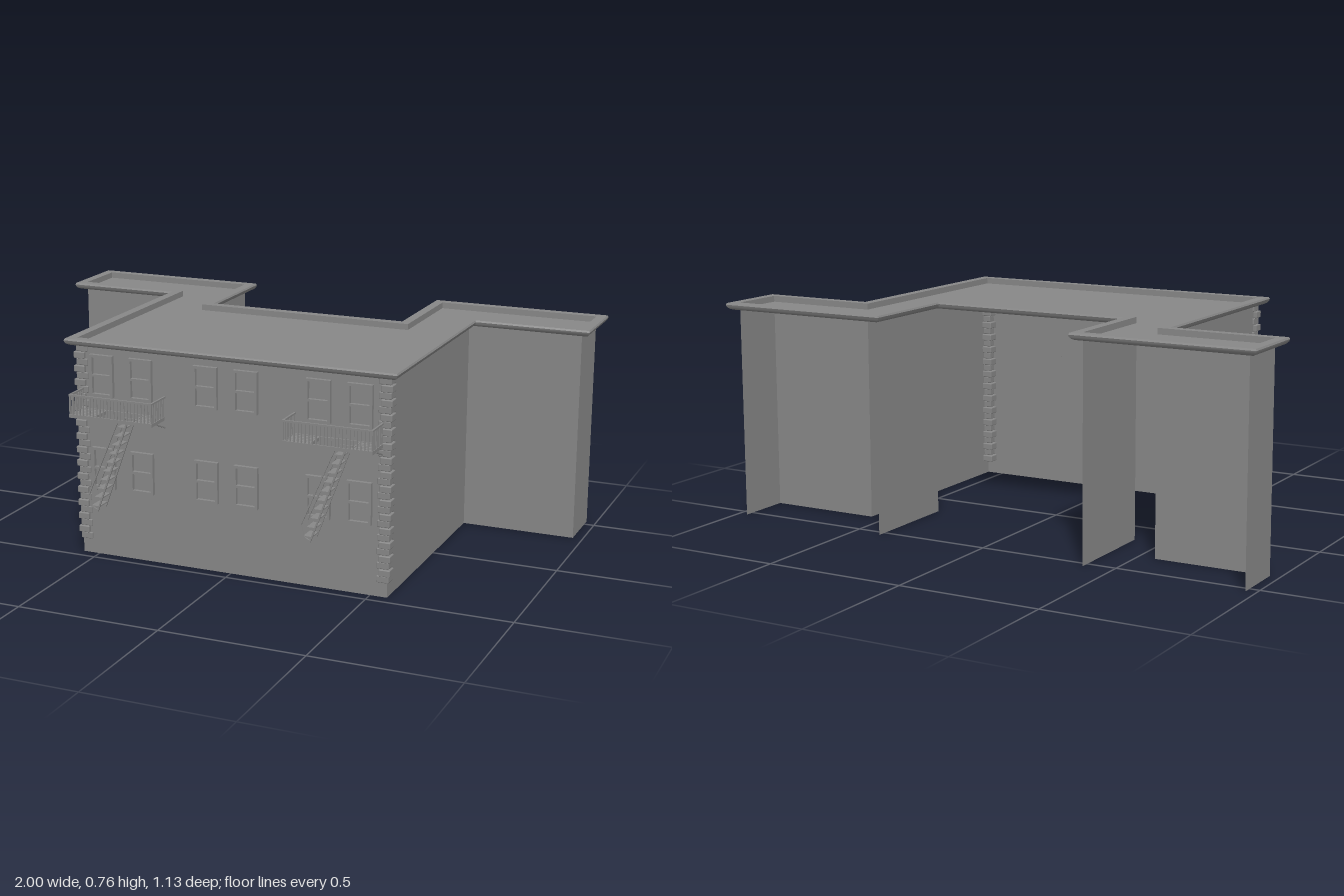
import * as THREE from 'three';
import { mergeGeometries, toCreasedNormals } from 'three/addons/utils/BufferGeometryUtils.js';
import { RoundedBoxGeometry } from 'three/addons/geometries/RoundedBoxGeometry.js';

const COLOR = 0x888888;
const solid = new THREE.MeshStandardMaterial({ color: COLOR });
const open = new THREE.MeshStandardMaterial({ color: COLOR, side: THREE.DoubleSide });

// wall line as [x, z], running so that outward is (-dz, dx)
const OUTLINE = [
  [-0.56, 0.46], [0.56, 0.46], [0.56, -0.34], [0.965, -0.34], [0.965, -0.533], [0.395, -0.533],
  [0.395, -0.16], [-0.395, -0.16], [-0.395, -0.533], [-0.965, -0.533], [-0.965, -0.34], [-0.56, -0.34],
];
const N = OUTLINE.length;
const ROOF_Y = 0.742;
const FRONT_Z = 0.46;

function mesh(name, geometry, material = solid) {
  const m = new THREE.Mesh(geometry, material);
  m.name = name;
  return m;
}

// box from its min and max corners
function span(x0, x1, y0, y1, z0, z1) {
  return new THREE.BoxGeometry(x1 - x0, y1 - y0, z1 - z0)
    .translate((x0 + x1) / 2, (y0 + y1) / 2, (z0 + z1) / 2);
}

// flat plate from outline and hole points, facing +z
function plate(points, holes, depth, z) {
  const vectors = (list) => list.map(([x, y]) => new THREE.Vector2(x, y));
  const shape = new THREE.Shape(vectors(points));
  for (const h of holes) shape.holes.push(new THREE.Path(vectors(h)));
  return new THREE.ExtrudeGeometry(shape, { depth, bevelEnabled: false }).translate(0, 0, z);
}

const rect = (x0, x1, y0, y1) => [[x0, y0], [x1, y0], [x1, y1], [x0, y1]];

function edgeNormal(i) {
  const a = OUTLINE[(i + N) % N], b = OUTLINE[(i + 1 + N) % N];
  const l = Math.hypot(b[0] - a[0], b[1] - a[1]);
  return [-(b[1] - a[1]) / l, (b[0] - a[0]) / l];
}

// thin outer walls; the sides facing the rear are left open
function walls() {
  const parts = [];
  for (let i = 0; i < N; i++) {
    const a = OUTLINE[i], b = OUTLINE[(i + 1) % N];
    if (b[0] - a[0] < -0.01) continue;
    const n = edgeNormal(i);
    parts.push(new THREE.PlaneGeometry(Math.hypot(b[0] - a[0], b[1] - a[1]), ROOF_Y)
      .rotateY(Math.atan2(n[0], n[1]))
      .translate((a[0] + b[0]) / 2, ROOF_Y / 2, (a[1] + b[1]) / 2));
  }
  return mesh('walls', mergeGeometries(parts), open);
}

function roof() {
  const shape = new THREE.Shape(OUTLINE.map(([x, z]) => new THREE.Vector2(x, -z)));
  return mesh('roof', new THREE.ShapeGeometry(shape).rotateX(-Math.PI / 2).translate(0, ROOF_Y, 0), open);
}

// rounded moulding swept round the outline with mitred corners
function cornice() {
  const profile = [[0, 0.739], [0.018, 0.739], [0.027, 0.743], [0.033, 0.75], [0.035, 0.757],
    [0.032, 0.763], [0, 0.763], [0, 0.739]];
  const point = (i, j) => {
    const k = i % N, n = edgeNormal(k), p = edgeNormal(k - 1), [o, y] = profile[j];
    return [OUTLINE[k][0] + (n[0] + p[0]) * o, y, OUTLINE[k][1] + (n[1] + p[1]) * o];
  };
  const pos = [];
  for (let i = 0; i < N; i++) {
    for (let j = 0; j < profile.length - 1; j++) {
      const a = point(i, j), b = point(i + 1, j), c = point(i + 1, j + 1), d = point(i, j + 1);
      pos.push(...a, ...b, ...c, ...a, ...c, ...d);
    }
  }
  const g = new THREE.BufferGeometry();
  g.setAttribute('position', new THREE.Float32BufferAttribute(pos, 3));
  return mesh('cornice', toCreasedNormals(g, 0.7));
}

// corner stones, alternately standing out and set back
function quoins(side) {
  const parts = [], rows = 29, y0 = 0.05, h = (0.74 - y0) / rows;
  for (let i = 0; i < rows; i++) {
    const [out, size] = i % 2 ? [0.012, 0.04] : [0.006, 0.043];
    parts.push(new RoundedBoxGeometry(size, h * 0.98, size, 1, 0.003)
      .translate(side * (0.56 + out - size / 2), y0 + (i + 0.5) * h, FRONT_Z + out - size / 2));
  }
  return mesh(side > 0 ? 'leftQuoins' : 'rightQuoins', mergeGeometries(parts));
}

// frame with an upper and a lower opening, and a recessed pane
function sashWindow(x, y) {
  const g = new THREE.Group();
  g.name = 'window';
  const w = 0.043, h = 0.072, b = 0.009, bar = 0.004;
  g.add(
    mesh('windowFrame', plate(rect(-w, w, -h, h),
      [rect(-w + b, w - b, -h + b, -bar), rect(-w + b, w - b, bar, h - b)], 0.014, 0)),
    mesh('windowPane', span(-w + b, w - b, -h + b, h - b, 0, 0.001)),
  );
  g.position.set(x, y, FRONT_Z);
  return g;
}

// balcony with railing, brackets and a sloping stair
function fireEscape(x) {
  const g = new THREE.Group();
  g.name = 'fireEscape';
  const W = 0.155, zb = 0.468, zf = 0.563, yf = 0.511, yt = 0.592, t = 0.004;

  const floor = [
    span(-W, W, yf, yf + 0.012, zf - 0.006, zf),
    span(-W, W, yf, yf + 0.012, zb, zb + 0.006),
  ];
  for (const [a, b] of [[-W, -0.06], [0.078, W]]) {
    floor.push(span(a, a + 0.006, yf, yf + 0.012, zb, zf), span(b - 0.006, b, yf, yf + 0.012, zb, zf));
    for (let i = 0; i < 5; i++) {
      const z = zb + 0.008 + i * 0.016;
      floor.push(span(a, b, yf + 0.004, yf + 0.01, z, z + 0.012));
    }
  }
  g.add(mesh('balconyFloor', mergeGeometries(floor)));

  const rail = [span(-W, W, yt - 0.006, yt, zf - 0.006, zf)];
  for (const s of [-1, 1]) {
    const xs = s * (W - 0.003);
    rail.push(span(xs - 0.003, xs + 0.003, yt - 0.006, yt, FRONT_Z, zf));
    for (let i = 0; i < 8; i++) {
      const z = zb + 0.003 + i * 0.0122;
      rail.push(span(xs - t / 2, xs + t / 2, yf, yt, z - t / 2, z + t / 2));
    }
  }
  for (let i = 0; i <= 24; i++) {
    const bx = -W + 0.003 + (i / 24) * (2 * W - 0.006);
    rail.push(span(bx - t / 2, bx + t / 2, yf, yt, zf - 0.003 - t / 2, zf - 0.003 + t / 2));
  }
  g.add(mesh('railing', mergeGeometries(rail)));

  // diagonal supports back to the wall
  const brackets = [-1, 1].map((s) => new THREE.BoxGeometry(0.005, 0.004, 0.07)
    .rotateX(-0.4).translate(s * (W - 0.003), 0.497, 0.492));
  g.add(mesh('brackets', mergeGeometries(brackets)));

  // each stair side is a stringer and a handrail joined at the foot
  const outer = [[0.02, 0.514], [-0.094, 0.246], [-0.083, 0.203], [-0.057, 0.19], [0.063, 0.514]];
  const inner = [[0.025, 0.51], [-0.089, 0.246], [-0.079, 0.207], [-0.06, 0.197], [0.055, 0.51]];
  const sides = [0.498, 0.554].map((z) => plate(outer, [inner], 0.004, z));
  g.add(mesh('stairSides', mergeGeometries(sides)));
  const treads = [];
  for (let i = 0; i < 10; i++) {
    const y = 0.207 + i * 0.032, cx = -0.068 + (y - 0.207) * 0.37;
    treads.push(span(cx - 0.015, cx + 0.015, y - 0.002, y + 0.002, 0.5, 0.556));
  }
  g.add(mesh('stairTreads', mergeGeometries(treads)));

  g.position.x = x;
  return g;
}

export function createModel() {
  const model = new THREE.Group();
  model.name = 'building';
  model.add(walls(), roof(), cornice(), quoins(-1), quoins(1));
  for (const y of [0.315, 0.64]) {
    for (const x of [-0.468, -0.323, -0.083, 0.062, 0.318, 0.462]) model.add(sashWindow(x, y));
  }
  model.add(fireEscape(-0.389), fireEscape(0.387));
  return model;
}
